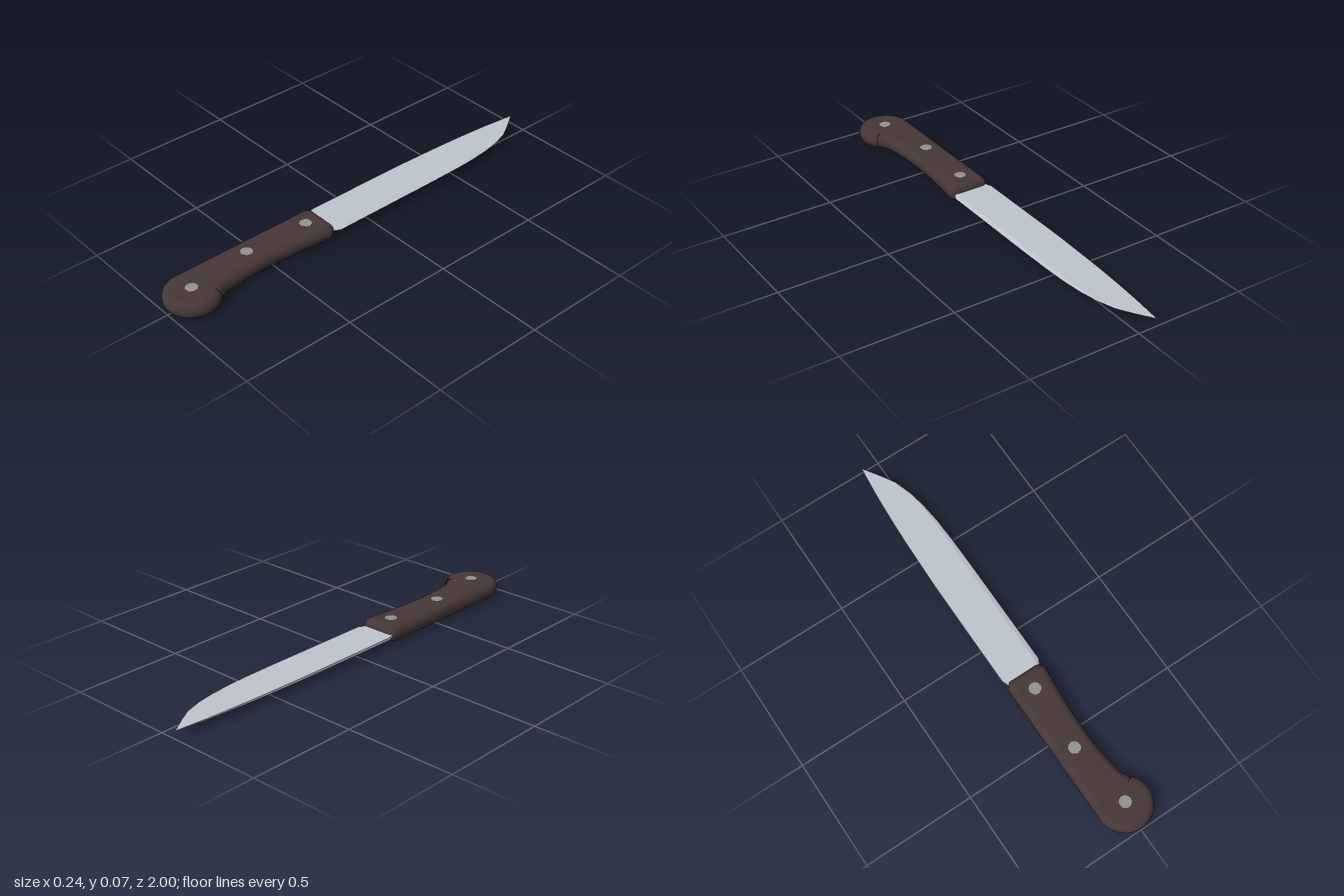
import * as THREE from 'three';
import { mergeVertices } from 'three/addons/utils/BufferGeometryUtils.js';

const MID = 0.036; // height of the centre plane

function material(name, color) {
  const m = new THREE.MeshStandardMaterial({ color });
  m.name = name;
  return m;
}

// Handle: a core outline swollen outward by a round bevel
function handleGeometry() {
  const s = new THREE.Shape();
  s.moveTo(-0.088, 0.225);
  s.lineTo(-0.085, 0.222);
  s.lineTo(0.028, 0.222);
  s.quadraticCurveTo(0.033, 0.222, 0.033, 0.227);
  s.splineThru([[0.022, 0.33], [0.012, 0.48], [0.013, 0.62], [0.025, 0.74]].map(p => new THREE.Vector2(...p)));
  s.quadraticCurveTo(0.033, 0.79, 0.0566, 0.8126);
  s.absarc(0, 0.88, 0.088, -0.873, Math.PI, false);
  s.lineTo(-0.088, 0.225);
  const raw = new THREE.ExtrudeGeometry(s, {
    depth: 0.002, bevelThickness: 0.035, bevelSize: 0.032, bevelSegments: 8, curveSegments: 20,
  });
  raw.rotateX(Math.PI / 2);
  raw.translate(0, MID + 0.001, 0);
  raw.deleteAttribute('normal');
  raw.deleteAttribute('uv');
  const g = mergeVertices(raw, 1e-5);
  g.computeVertexNormals();
  return g;
}

// Blade: five-sided sections [z, spine x, edge x, bevel width, half thickness]
function bladeGeometry() {
  const sections = [
    [0.25, -0.10, 0.045, 0.010, 0.006],
    [0.195, -0.11, 0.052, 0.012, 0.006],
    [0.17, -0.12, 0.065, 0.020, 0.006],
    [-0.10, -0.12, 0.065, 0.020, 0.006],
    [-0.35, -0.119, 0.065, 0.020, 0.0055],
    [-0.50, -0.115, 0.063, 0.018, 0.005],
    [-0.60, -0.112, 0.059, 0.014, 0.0045],
    [-0.70, -0.107, 0.049, 0.008, 0.004],
    [-0.78, -0.102, 0.034, 0.006, 0.0034],
    [-0.86, -0.096, 0.008, 0.005, 0.0027],
    [-0.92, -0.090, -0.027, 0.004, 0.002],
    [-0.97, -0.085, -0.060, 0.003, 0.0014],
    [-1.0, -0.081, -0.080, 0.0004, 0.0008],
  ];
  const rings = sections.map(([z, a, b, w, t]) => [
    [a, MID - t, z], [a, MID + t, z], [b - w, MID + t, z], [b, MID, z], [b - w, MID - t, z],
  ]);
  const pos = [];
  const tri = (...pts) => pts.forEach(p => pos.push(...p));
  for (let i = 0; i < rings.length - 1; i++) {
    const p = rings[i], q = rings[i + 1];
    for (let j = 0; j < 5; j++) {
      const k = (j + 1) % 5;
      tri(p[j], p[k], q[k]);
      tri(p[j], q[k], q[j]);
    }
  }
  const first = rings[0], last = rings[rings.length - 1];
  for (let j = 1; j < 4; j++) {
    tri(first[0], first[j + 1], first[j]);
    tri(last[0], last[j], last[j + 1]);
  }
  const g = new THREE.BufferGeometry();
  g.setAttribute('position', new THREE.Float32BufferAttribute(pos, 3));
  g.computeVertexNormals();
  return g;
}

export function createModel() {
  const wood = material('dark wood', 0x453735);
  const steel = material('blade steel', 0xbec4cc);
  const rivetMetal = material('rivet metal', 0x929292);
  const knife = new THREE.Group();
  knife.name = 'knife';

  const add = (name, geometry, mat) => {
    const mesh = new THREE.Mesh(geometry, mat);
    mesh.name = name;
    knife.add(mesh);
    return mesh;
  };

  add('handle', handleGeometry(), wood);
  add('blade', bladeGeometry(), steel);

  // Rivets pass through the handle and show on both faces
  const rivet = new THREE.CylinderGeometry(0.027, 0.027, 0.0735, 12);
  [[-0.03, 0.28], [-0.04, 0.58], [0, 0.88]].forEach(([x, z], i) => {
    add('rivet' + (i + 1), rivet, rivetMetal).position.set(x, MID, z);
  });
  return knife;
}
